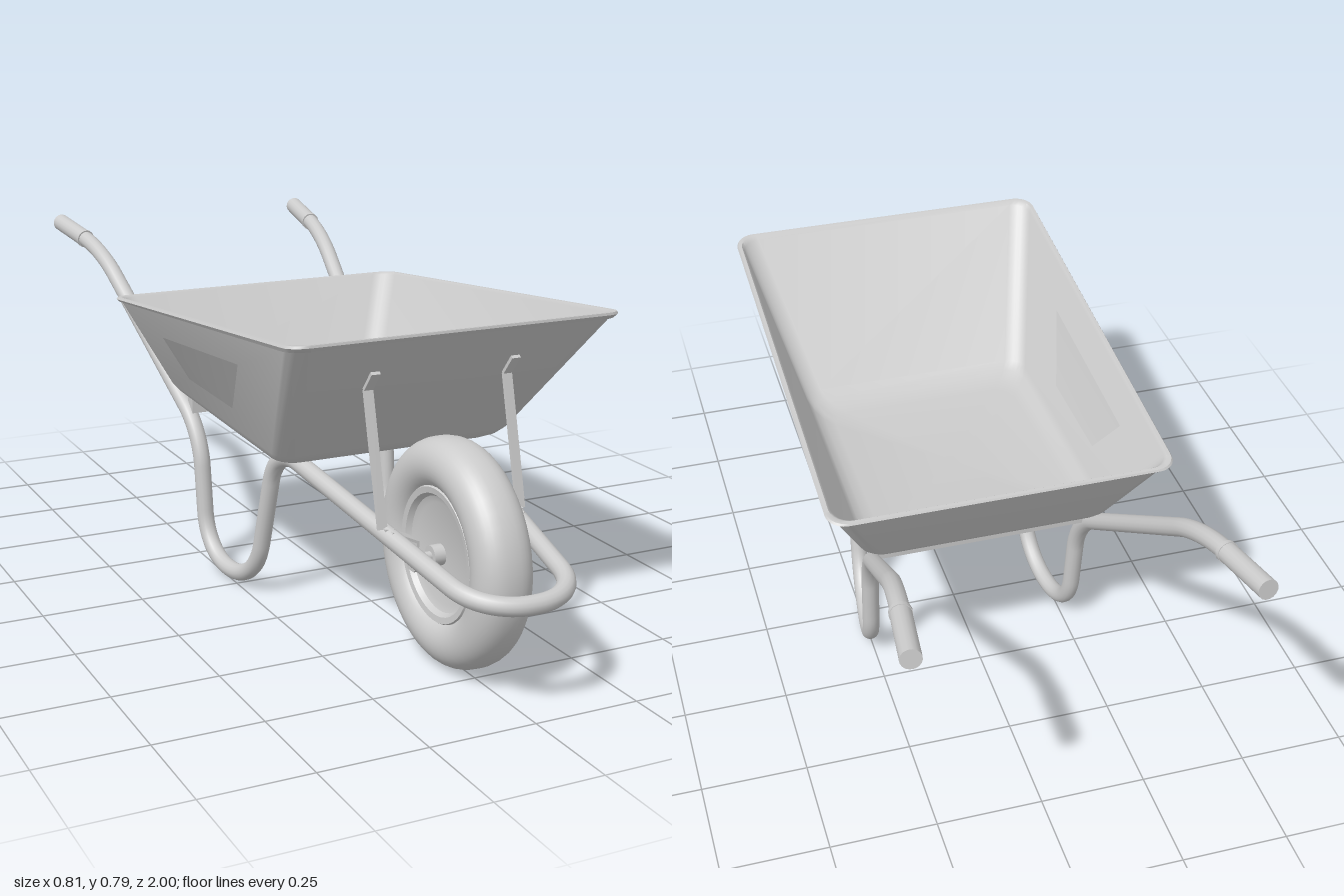
import * as THREE from 'three';
import { toCreasedNormals } from 'three/addons/utils/BufferGeometryUtils.js';

const V = (x, y, z) => new THREE.Vector3(x, y, z);
const lerp = THREE.MathUtils.lerp;
const grey = new THREE.MeshStandardMaterial({ color: 0xcccccc, side: THREE.DoubleSide });

function add(parent, name, geometry) {
  const mesh = new THREE.Mesh(geometry, grey);
  mesh.name = name;
  parent.add(mesh);
  return mesh;
}

// Flat bar from a to b: w wide, t thick
function bar(parent, name, a, b, w, t) {
  const mesh = add(parent, name, new THREE.BoxGeometry(w, t, a.distanceTo(b)));
  mesh.position.copy(a).lerp(b, 0.5);
  mesh.lookAt(b);
  return mesh;
}

// Round rod from a to b
function rod(parent, name, a, b, r) {
  const mesh = add(parent, name, new THREE.CylinderGeometry(r, r, a.distanceTo(b), 16));
  mesh.position.copy(a).lerp(b, 0.5);
  mesh.quaternion.setFromUnitVectors(V(0, 1, 0), b.clone().sub(a).normalize());
  return mesh;
}

// Polyline with rounded corners; fillets[i] is the cut length at corner i
function roundedPath(points, fillets) {
  const path = new THREE.CurvePath();
  let last = points[0];
  for (let i = 1; i < points.length - 1; i++) {
    const p = points[i], d = fillets[i];
    const a = p.clone().add(points[i - 1].clone().sub(p).setLength(d));
    const b = p.clone().add(points[i + 1].clone().sub(p).setLength(d));
    path.add(new THREE.LineCurve3(last, a));
    path.add(new THREE.CubicBezierCurve3(a, a.clone().lerp(p, 0.6), b.clone().lerp(p, 0.6), b));
    last = b;
  }
  path.add(new THREE.LineCurve3(last, points[points.length - 1]));
  return path;
}

// One rounded-rectangle ring of the tray: t is height, inset shrinks it, scale 0 closes the floor
function trayRing(t, inset, lift, scale = 1) {
  const ring = [], n = 6;
  const hx = lerp(0.292, 0.398, t) - inset;
  const z0 = lerp(-0.305, -0.437, t) + inset, z1 = lerp(0.355, 0.675, t) - inset;
  const r = 0.045, mid = (z0 + z1) / 2;
  for (let c = 0; c < 4; c++) {
    const sx = c === 0 || c === 3 ? 1 : -1, sz = c < 2 ? 1 : -1;
    for (let k = 0; k <= n; k++) {
      const a = (c + k / n) * Math.PI / 2;
      const x = (sx * (hx - r) + r * Math.cos(a)) * scale;
      let z = (sz > 0 ? z1 - r : z0 + r) + r * Math.sin(a);
      z = mid + (z - mid) * scale;
      const y = lerp(0.423 - 0.04 * z, 0.706 + 0.0938 * z, t) + lift;
      ring.push(V(x, y, z));
    }
  }
  return ring;
}

function trayGeometry() {
  const rings = [
    // outside, floor to lip
    trayRing(0, 0.04, 0, 0), trayRing(0, 0.04, 0), trayRing(0.012, 0.018, 0),
    trayRing(0.05, 0.005, 0), trayRing(0.11, 0, 0), trayRing(0.965, 0, 0),
    // rolled lip
    trayRing(0.965, -0.006, 0), trayRing(0.99, -0.008, 0), trayRing(1, -0.004, 0.002),
    trayRing(1, 0.004, 0.002), trayRing(0.985, 0.008, 0),
    // inside, lip to floor
    trayRing(0.13, 0.009, 0), trayRing(0.07, 0.015, 0.004), trayRing(0.025, 0.03, 0.006),
    trayRing(0.005, 0.052, 0.007), trayRing(0, 0.06, 0.007, 0)
  ];
  const m = rings[0].length, index = [];
  for (let k = 0; k < rings.length - 1; k++) {
    for (let i = 0; i < m; i++) {
      const j = (i + 1) % m, a = k * m + i, b = k * m + j;
      index.push(a, a + m, b, b, a + m, b + m);
    }
  }
  const g = new THREE.BufferGeometry().setFromPoints(rings.flat());
  g.setIndex(index);
  return toCreasedNormals(g, 0.7);
}

// Solid of revolution about the x axis, from [radius, x] pairs
function wheelLathe(profile) {
  const g = new THREE.LatheGeometry(profile.map(([r, x]) => new THREE.Vector2(r, x)), 48);
  return g.rotateZ(-Math.PI / 2);
}

export function createModel() {
  const model = new THREE.Group();
  model.name = 'wheelbarrow';

  add(model, 'tray', trayGeometry());

  // Bent tube frame: handle, leg, front loop, leg, handle
  const side = [
    [0.773, -0.995, 0], [0.735, -0.74, 0.1], [0.35, -0.195, 0.09], [0.026, -0.165, 0.118],
    [0.026, 0.075, 0.118], [0.41, 0.18, 0.1], [0.259, 0.979, 0.113]
  ];
  const half = side.map(([y, z]) => V(0.24 - 0.125 * z, y, z));
  const mirrored = half.map(p => V(-p.x, p.y, p.z)).reverse();
  const cuts = side.map(s => s[2]);
  const path = roundedPath([...half, ...mirrored], [...cuts, ...cuts.slice().reverse()]);
  path.arcLengthDivisions = 800;
  add(model, 'frameTube', new THREE.TubeGeometry(path, 420, 0.021, 14));

  // Wheel
  const wheel = new THREE.Group();
  wheel.name = 'wheel';
  wheel.position.set(0, 0.263, 0.648);
  model.add(wheel);
  const tyre = [];
  for (let i = 0; i <= 28; i++) {
    const a = -2.55 + 5.1 * i / 28;
    tyre.push([0.2 + 0.059 * Math.cos(a), 0.067 * Math.sign(Math.sin(a)) * Math.abs(Math.sin(a)) ** 0.85]);
  }
  add(wheel, 'tyre', wheelLathe(tyre));
  const rimHalf = [[0, 0.034], [0.115, 0.03], [0.13, 0.036], [0.138, 0.048], [0.152, 0.05], [0.158, 0.04]];
  const rim = [...rimHalf.map(([r, x]) => [r, -x]), ...rimHalf.slice().reverse()];
  add(wheel, 'rim', toCreasedNormals(wheelLathe(rim), 0.5));
  rod(wheel, 'hub', V(-0.06, 0, 0), V(0.06, 0, 0), 0.024);
  rod(wheel, 'axle', V(-0.112, 0, 0), V(0.112, 0, 0), 0.011);

  // Axle plate outline with a pointed foot
  const plate = new THREE.Shape([
    [-0.026, 0.31], [-0.026, 0.25], [-0.014, 0.236], [0.014, 0.236], [0.026, 0.25], [0.026, 0.31]
  ].map(([x, y]) => new THREE.Vector2(x, y)));

  for (const s of [1, -1]) {
    const label = s > 0 ? 'left' : 'right';

    // Grip
    const end = V(s * 0.365, 0.774, -0.998), bend = V(s * 0.3325, 0.735, -0.74);
    rod(model, label + 'Grip', end, end.clone().lerp(bend, 0.62), 0.023);
    rod(model, label + 'GripCollar', end.clone().lerp(bend, 0.59), end.clone().lerp(bend, 0.63), 0.0245);

    // Axle bracket
    const g = new THREE.ExtrudeGeometry(plate, { depth: 0.006, bevelEnabled: false });
    g.translate(0, 0, -0.003).rotateY(Math.PI / 2);
    add(model, label + 'AxlePlate', g).position.set(s * 0.103, 0, 0.645);
    bar(model, label + 'AxleArm', V(s * 0.101, 0.308, 0.645), V(s * 0.165, 0.337, 0.645), 0.052, 0.006);

    // Tray strut, bent flat against the front wall
    const foot = V(s * 0.173, 0.338, 0.638), knee = V(s * 0.173, 0.632, 0.565), tip = V(s * 0.173, 0.676, 0.601);
    bar(model, label + 'Strut', foot, knee, 0.022, 0.008);
    bar(model, label + 'StrutTab', knee, tip, 0.022, 0.008);
    bar(model, label + 'StrutFoot', foot, V(s * 0.15, 0.337, 0.638), 0.03, 0.007);
  }

  // Cross bar under the rear of the tray
  const cross = add(model, 'crossBar', new THREE.BoxGeometry(0.545, 0.04, 0.03));
  cross.position.set(0, 0.411, -0.24);

  return model;
}
